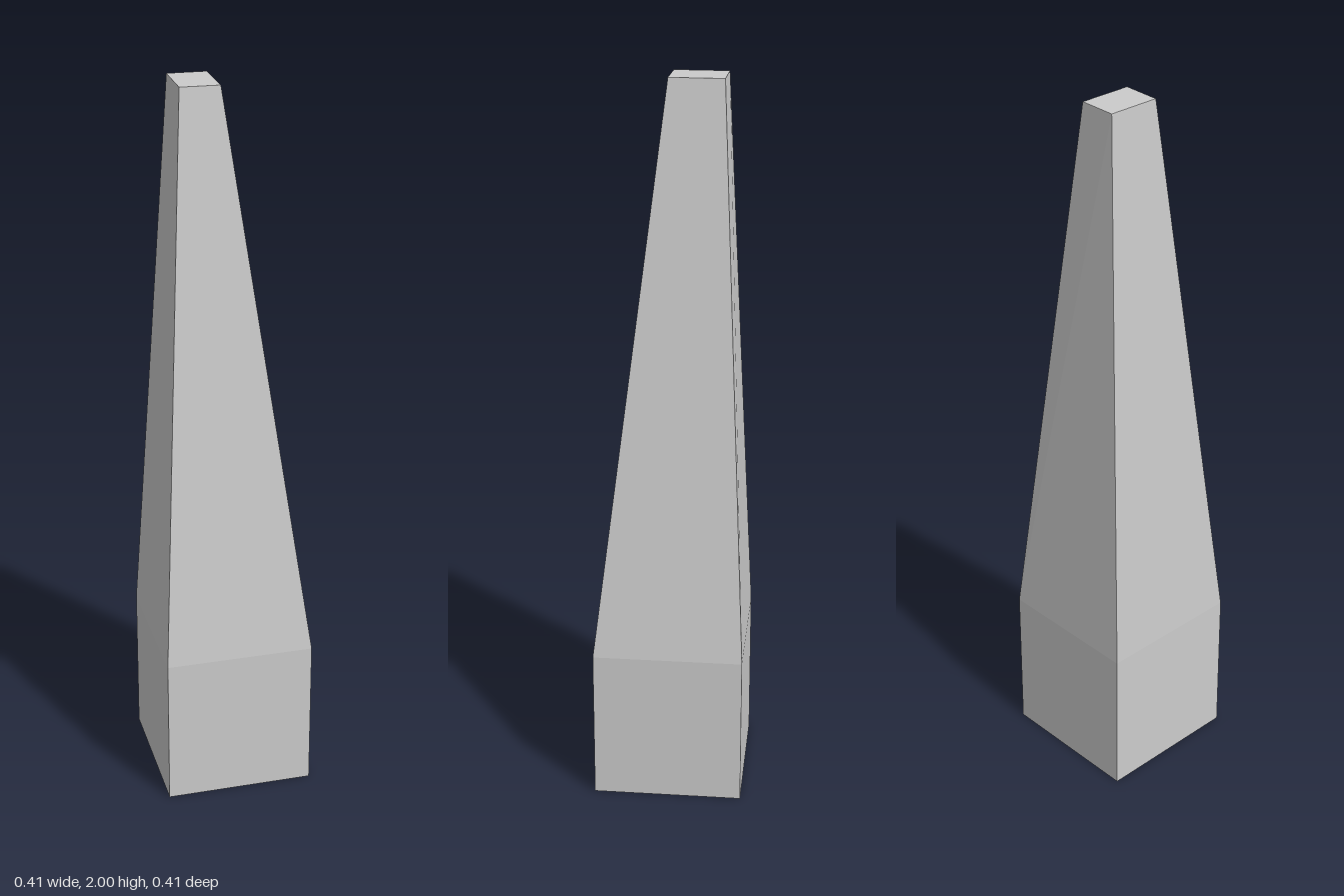
import * as THREE from 'three';

const HALF = 0.207; // half width of the square base
const SHOULDER = 0.43; // height where the taper starts
const HEIGHT = 2;

// Corners of the small, off-centre top, as [x, z]
const TOP = {
  backRight: [-0.113, -0.134],
  backLeft: [-0.006, -0.13],
  frontLeft: [-0.007, 0.018],
  frontRight: [-0.114, 0.013],
};

export function createModel() {
  const group = new THREE.Group();
  group.name = 'leaningObelisk';

  // One box with a ring at the shoulder; its top ring is drawn in and shifted
  const geometry = new THREE.BoxGeometry(2 * HALF, 2, 2 * HALF, 1, 2, 1);
  const pos = geometry.attributes.position;
  for (let i = 0; i < pos.count; i++) {
    const level = Math.round(pos.getY(i)); // -1 foot, 0 shoulder, 1 top
    pos.setY(i, [0, SHOULDER, HEIGHT][level + 1]);
    if (level === 1) {
      const corner = (pos.getZ(i) > 0 ? 'front' : 'back') + (pos.getX(i) > 0 ? 'Left' : 'Right');
      pos.setX(i, TOP[corner][0]);
      pos.setZ(i, TOP[corner][1]);
    }
  }
  geometry.computeVertexNormals();

  const pillar = new THREE.Mesh(
    geometry,
    new THREE.MeshStandardMaterial({ color: 0xcccccc, flatShading: true })
  );
  pillar.name = 'taperedPillar';
  group.add(pillar);
  return group;
}
